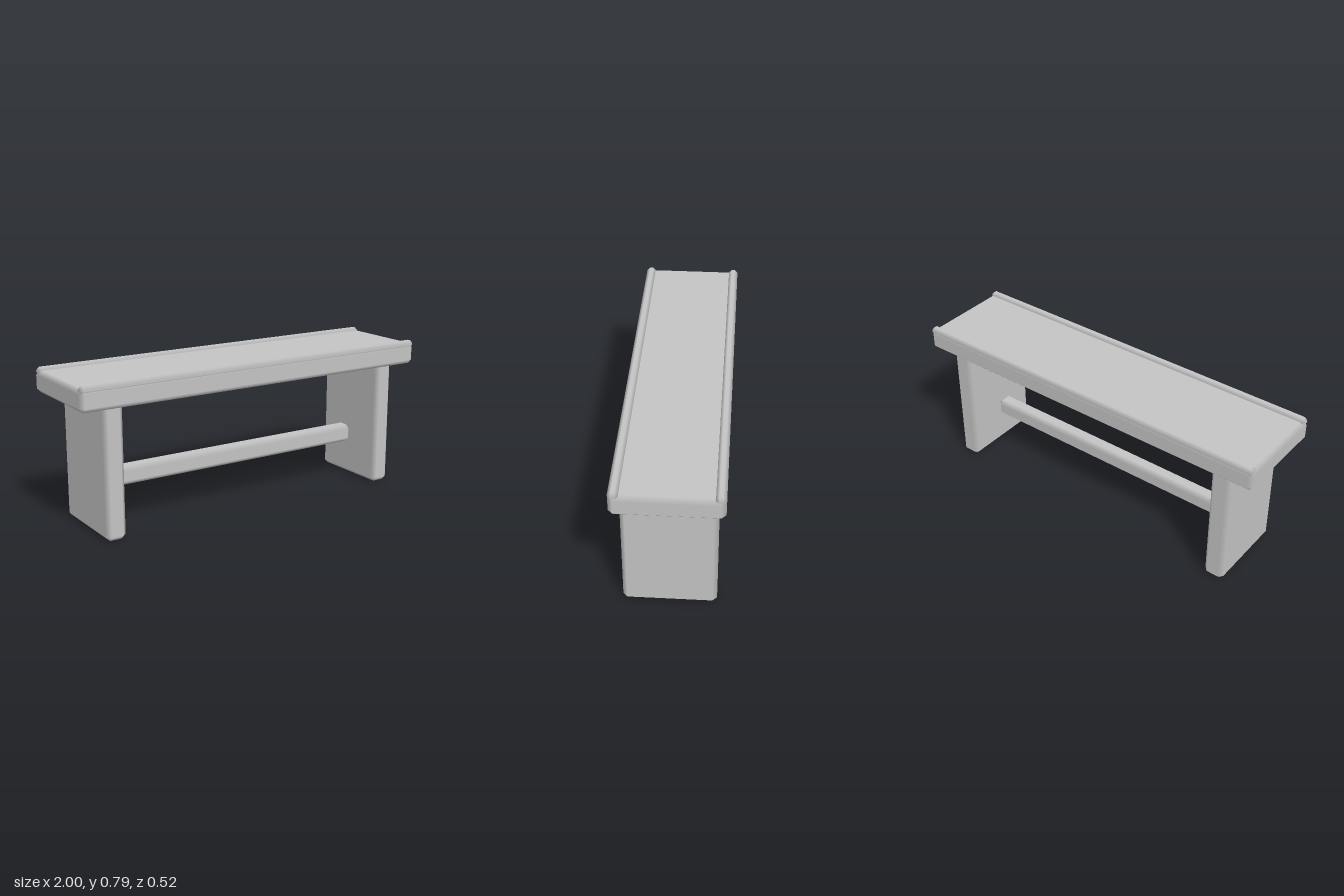
import * as THREE from 'three';

// Box with single-cut chamfers, shaded smoothly from face to face
function chamferBox(w, h, d, c) {
  const half = [w / 2, h / 2, d / 2];
  const pos = [], nor = [], idx = [];
  // Vertex id: face axis * 8 + corner bits (one bit per positive axis)
  for (let a = 0; a < 3; a++) {
    for (let s = 0; s < 8; s++) {
      for (let k = 0; k < 3; k++) {
        const sign = (s >> k) & 1 ? 1 : -1;
        pos.push(sign * (k === a ? half[k] : half[k] - c));
        nor.push(k === a ? sign : 0);
      }
    }
  }
  const at = (i) => new THREE.Vector3().fromArray(pos, i * 3);
  const tri = (i, j, k) => {
    const A = at(i), B = at(j), C = at(k);
    const n = B.clone().sub(A).cross(C.clone().sub(A));
    if (n.dot(A.add(B).add(C)) > 0) idx.push(i, j, k);
    else idx.push(i, k, j);
  };
  const quad = (i, j, k, l) => { tri(i, j, k); tri(i, k, l); };
  for (let a = 0; a < 3; a++) {
    const b = (a + 1) % 3, e = (a + 2) % 3;
    const A = 1 << a, B = 1 << b, E = 1 << e;
    // Main faces
    for (const s of [0, A]) quad(a * 8 + s, a * 8 + s + B, a * 8 + s + B + E, a * 8 + s + E);
    // Edge chamfers running along axis a
    for (const s of [0, B, E, B + E]) quad(b * 8 + s, b * 8 + s + A, e * 8 + s + A, e * 8 + s);
  }
  // Corner triangles
  for (let s = 0; s < 8; s++) tri(s, 8 + s, 16 + s);
  const g = new THREE.BufferGeometry();
  g.setAttribute('position', new THREE.Float32BufferAttribute(pos, 3));
  g.setAttribute('normal', new THREE.Float32BufferAttribute(nor, 3));
  g.setIndex(idx);
  return g;
}

export function createModel() {
  const group = new THREE.Group();
  group.name = 'bench';
  const grey = new THREE.MeshStandardMaterial({ color: 0xc4c4c4 });
  grey.name = 'plain grey';

  const add = (name, size, chamfer, x, y, z) => {
    const mesh = new THREE.Mesh(chamferBox(...size, chamfer), grey);
    mesh.name = name;
    mesh.position.set(x, y, z);
    group.add(mesh);
  };

  // Seat plank
  add('seat', [2, 0.112, 0.52], 0.022, 0, 0.714, 0);
  // Stretcher, ending just short of the legs
  add('stretcher', [1.5, 0.095, 0.09], 0.022, 0, 0.2475, 0);
  // Slab legs, with their tops sunk into the seat
  add('leftLeg', [0.106, 0.7, 0.454], 0.022, 0.82, 0.35, 0);
  add('rightLeg', [0.106, 0.7, 0.454], 0.022, -0.82, 0.35, 0);
  // Raised rails along the long edges
  add('frontRail', [1.996, 0.04, 0.05], 0.0165, 0, 0.765, 0.2355);
  add('backRail', [1.996, 0.04, 0.05], 0.0165, 0, 0.765, -0.2355);
  return group;
}
